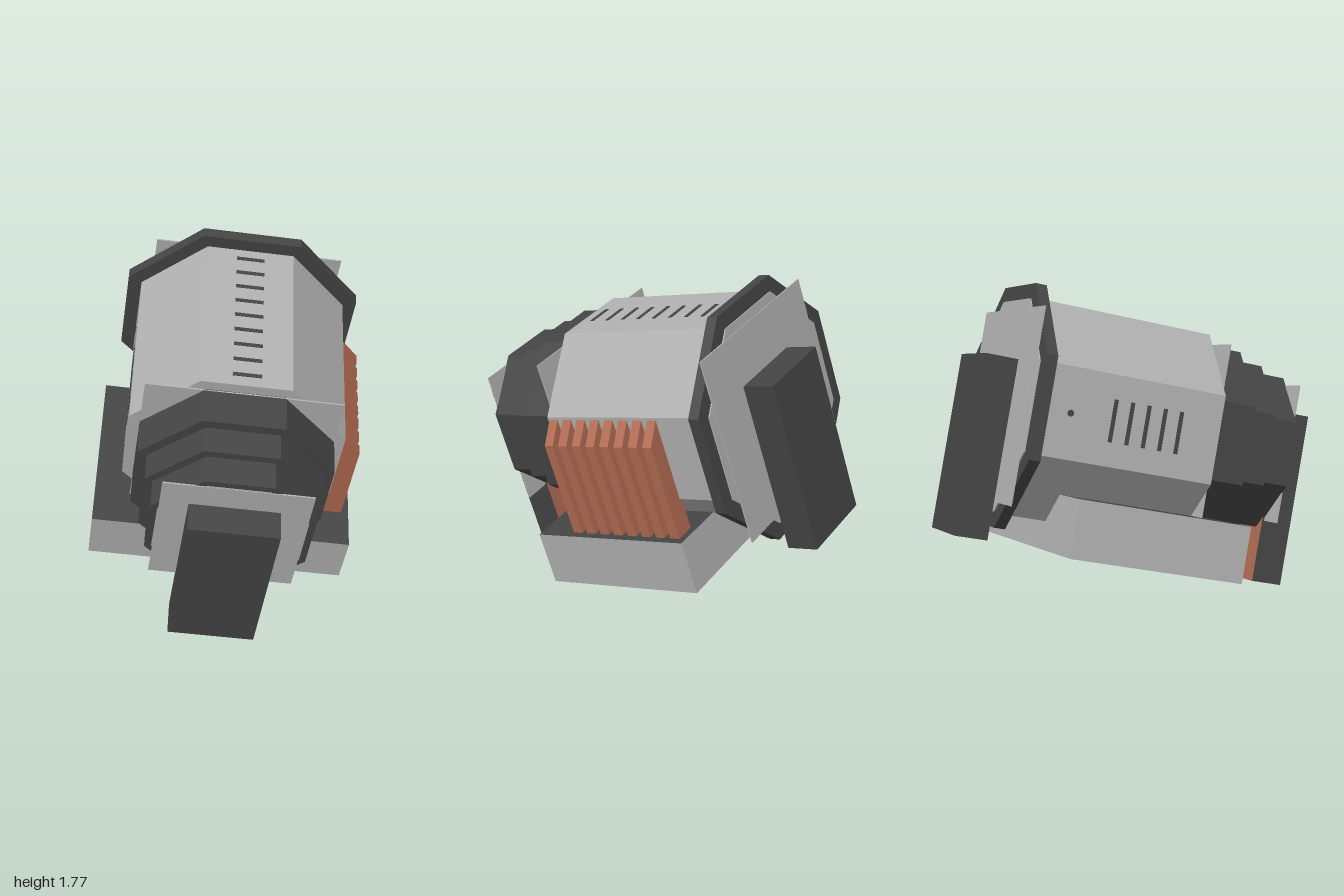
import * as THREE from 'three';

const mat = (name, color) => {
  const m = new THREE.MeshStandardMaterial({ color });
  m.name = name;
  return m;
};

export function createModel() {
  const light = mat('light grey casing', 0xb0b0b0);
  const dark = mat('dark grey metal', 0x444444);
  const copper = mat('copper', 0xb06a50);

  // Local frame: x across, y up, z along the machine's axis
  const CX = -0.15, CY = 0.93;
  const machine = new THREE.Group();
  machine.name = 'machine';

  const add = (name, geometry, material) => {
    const mesh = new THREE.Mesh(geometry, material);
    mesh.name = name;
    machine.add(mesh);
    return mesh;
  };
  const box = (name, x0, x1, y0, y1, z0, z1, material) => {
    const mesh = add(name, new THREE.BoxGeometry(x1 - x0, y1 - y0, z1 - z0), material);
    mesh.position.set((x0 + x1) / 2, (y0 + y1) / 2, (z0 + z1) / 2);
    return mesh;
  };
  // Flat-sided octagonal prism; a is the distance from centre to each side
  const octagon = (name, a, z0, z1, material) => {
    const r = a / Math.cos(Math.PI / 8);
    const g = new THREE.CylinderGeometry(r, r, z1 - z0, 8, 1, false, Math.PI / 8)
      .rotateX(Math.PI / 2).toNonIndexed();
    g.computeVertexNormals();
    add(name, g, material).position.set(CX, CY, (z0 + z1) / 2);
  };
  const squarePlate = (name, h, z) =>
    box(name, CX - h, CX + h, CY - h, CY + h, z - 0.004, z + 0.004, light);

  // Casing and stepped front rings
  octagon('casing', 0.567, -0.85, 0.14, light);
  [[0.51, 0.14, 0.35], [0.46, 0.35, 0.5], [0.42, 0.5, 0.655]].forEach(([a, z0, z1], i) =>
    octagon('frontRing' + (i + 1), a, z0, z1, dark));
  octagon('rearFlange', 0.64, -0.89, -0.83, dark);

  // Square plates whose corners stand out past the octagons, and end caps
  squarePlate('casingFrontPlate', 0.51, 0.146);
  squarePlate('frontPlate', 0.38, 0.656);
  squarePlate('rearPlate', 0.51, -0.898);
  octagon('frontCap', 0.385, 0.65, 0.658, light);
  octagon('rearCap', 0.56, -0.897, -0.889, light);

  // End blocks; the front one has a copper inner face
  box('frontBlock', -0.385, 0.08, 0.212, 1.162, 0.64, 0.816, [dark, dark, dark, dark, dark, copper]);
  box('rearBlock', -0.385, 0.08, 0.218, 1.168, -1.08, -0.904, dark);

  // Base with dark top and underside
  box('base', -0.85, 0.556, 0.215, 0.515, -0.61, 0.345, [light, light, dark, dark, light, light]);

  // Copper cooling fins with sloping tops
  const fin = new THREE.Shape([[0.4, 0.5], [0.515, 0.5], [0.515, 1.045], [0.417, 1.15], [0.4, 1.15]]
    .map(([x, y]) => new THREE.Vector2(x, y)));
  const finGeometry = new THREE.ExtrudeGeometry(fin, { depth: 0.055, bevelEnabled: false });
  for (let i = 0; i < 8; i++) {
    add('coolingFin', finGeometry, copper).position.z = 0.075 - i * 0.092;
  }

  // Vent slots along the top
  for (let i = 0; i < 9; i++) {
    const z = 0.068 - i * 0.104;
    box('topVent', CX - 0.075, CX + 0.075, 1.494, 1.5, z - 0.011, z + 0.011, dark);
  }
  // Vent slots and bolt on the side away from the fins
  const side = CX - 0.567;
  for (let i = 0; i < 5; i++) {
    const z = -0.09 - i * 0.092;
    box('sideVent', side - 0.003, side + 0.003, 0.82, 1.04, z - 0.011, z + 0.011, dark);
  }
  add('sideBolt', new THREE.CylinderGeometry(0.018, 0.018, 0.006, 8).rotateZ(Math.PI / 2), dark)
    .position.set(side, 0.93, -0.69);

  // Lean and turn the whole machine
  const up = new THREE.Vector3(-0.021, 0.963, 0.268).normalize();
  const across = new THREE.Vector3(0.817, -0.14, 0.56).normalize();
  const along = across.clone().cross(up).normalize();
  across.copy(up).cross(along);
  machine.quaternion.setFromRotationMatrix(new THREE.Matrix4().makeBasis(across, up, along));

  const model = new THREE.Group();
  model.name = 'model';
  model.add(machine);
  return model;
}
